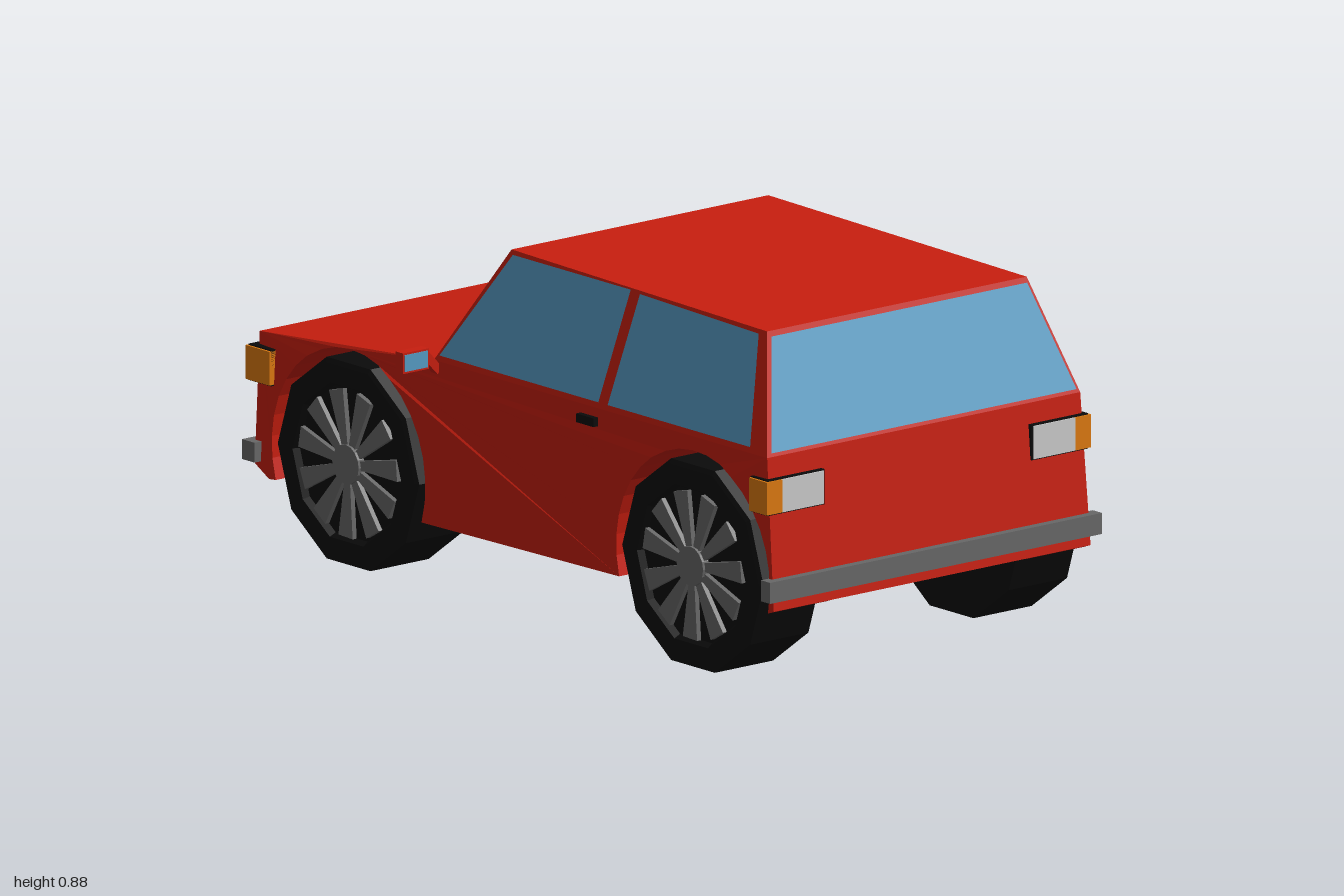
import * as THREE from 'three';

const mat = (color, side = THREE.FrontSide) => new THREE.MeshStandardMaterial({ color, side, flatShading: true });
const RED = mat(0xc81e0f), BLACK = mat(0x0b0b0b), GREY = mat(0x686868), LAMP = mat(0xc4c4c4);
const ORANGE = mat(0xdd7a10), GLASS = mat(0x569cc4, THREE.DoubleSide);

const AXLES = [-0.62, 0.68];
const WHEEL_Y = 0.267;
// half-width of the cabin at a given height
const sideX = (y) => 0.5 - (y - 0.59) * 0.3;

function add(parent, name, geometry, material) {
  const m = new THREE.Mesh(geometry, material);
  m.name = name;
  parent.add(m);
  return m;
}

// box given by its minimum and maximum corners
function block(parent, name, material, [x0, y0, z0], [x1, y1, z1]) {
  const g = new THREE.BoxGeometry(Math.abs(x1 - x0), y1 - y0, z1 - z0);
  g.translate((x0 + x1) / 2, (y0 + y1) / 2, (z0 + z1) / 2);
  return add(parent, name, g, material);
}

// flat convex pane through the given corners
function pane(parent, name, corners) {
  const g = new THREE.BufferGeometry().setFromPoints(corners.map((c) => new THREE.Vector3(...c)));
  const index = [];
  for (let i = 1; i < corners.length - 1; i++) index.push(0, i, i + 1);
  g.setIndex(index);
  g.computeVertexNormals();
  return add(parent, name, g, GLASS);
}

// side outline of the lower body (z, y), with or without wheel arches
function bodyShape(arches) {
  const s = new THREE.Shape();
  s.moveTo(-0.974, 0.53);
  s.lineTo(-0.974, 0.2);
  s.lineTo(-0.92, 0.17);
  if (arches) {
    s.absarc(AXLES[0], 0.265, 0.29, Math.PI + 0.325, -0.32, true);
    s.absarc(AXLES[1], 0.265, 0.29, Math.PI + 0.28, -0.22, true);
  }
  s.lineTo(0.985, 0.21);
  s.lineTo(0.953, 0.59);
  s.lineTo(-0.305, 0.59);
  s.closePath();
  return s;
}

function bodySlab(x0, x1, arches) {
  const g = new THREE.ExtrudeGeometry(bodyShape(arches), {
    depth: x1 - x0, steps: arches ? 1 : 2, bevelEnabled: false, curveSegments: 10,
  });
  g.rotateY(-Math.PI / 2);
  g.translate(x1, 0, 0);
  const p = g.attributes.position;
  for (let i = 0; i < p.count; i++) {
    const x = p.getX(i), y = p.getY(i), z = p.getZ(i);
    // shallow ridge along the floor, and slightly narrower upper edges
    if (Math.abs(x) < 0.01 && y < 0.2) p.setY(i, 0.2);
    if (y > 0.52 && Math.abs(x) > 0.4) p.setX(i, Math.sign(x) * (z < -0.9 ? 0.49 : 0.5));
  }
  g.computeVertexNormals();
  return g;
}

function cabinGeometry() {
  const g = new THREE.BoxGeometry(1, 1, 1);
  const p = g.attributes.position;
  for (let i = 0; i < p.count; i++) {
    const top = p.getY(i) > 0, rear = p.getZ(i) > 0;
    const y = top ? (rear ? 0.875 : 0.89) : 0.59;
    const z = top ? (rear ? 0.852 : -0.118) : (rear ? 0.953 : -0.305);
    p.setXYZ(i, Math.sign(p.getX(i)) * sideX(y), y, z);
  }
  g.computeVertexNormals();
  return g;
}

// wheel built around the y axis, outer face up, then laid over toward +x
function makeWheel() {
  const wheel = new THREE.Group();
  wheel.name = 'wheel';
  const profile = [[0, -0.096], [0.267, -0.096], [0.267, 0.09], [0.255, 0.096], [0.205, 0.096], [0.195, 0.08], [0, 0.08]];
  add(wheel, 'tyre', new THREE.LatheGeometry(profile.map((p) => new THREE.Vector2(...p)), 10), BLACK);
  const spoke = new THREE.Shape([[-0.011, 0.045], [0.011, 0.045], [0.027, 0.185], [-0.027, 0.185]].map((p) => new THREE.Vector2(...p)));
  for (let i = 0; i < 11; i++) {
    const g = new THREE.ExtrudeGeometry(spoke, { depth: 0.014, bevelEnabled: false });
    g.rotateX(-Math.PI / 2);
    g.rotateY((i / 11) * Math.PI * 2 + 0.1);
    g.translate(0, 0.079, 0);
    add(wheel, 'spoke', g, GREY);
  }
  const hub = new THREE.CylinderGeometry(0.05, 0.05, 0.03, 16);
  hub.translate(0, 0.085, 0);
  add(wheel, 'hub', hub, GREY);
  wheel.rotation.z = -Math.PI / 2;
  return wheel;
}

// lamp cluster at one corner; dir is the z direction it faces
function lampCluster(parent, s, dir, y0, y1, zIn, zOut, xIn) {
  const lamp = new THREE.Group();
  lamp.name = dir > 0 ? 'rearLamp' : 'frontLamp';
  parent.add(lamp);
  const part = (name, m, xa, xb, ya, yb, za, zb) =>
    block(lamp, name, m, [s * xa, ya, Math.min(za, zb)], [s * xb, yb, Math.max(za, zb)]);
  part('housing', BLACK, xIn, 0.512, y0, y1, zIn, zOut - dir * 0.004);
  part('lens', LAMP, xIn + 0.004, 0.468, y0 + 0.003, y1 - 0.003, zOut - dir * 0.01, zOut);
  part('indicator', ORANGE, 0.468, 0.518, y0 + 0.003, y1 - 0.003, zIn, zOut);
}

export function createModel() {
  const car = new THREE.Group();
  car.name = 'car';

  // body shell
  add(car, 'bodyCentre', bodySlab(-0.32, 0.32, false), RED);
  add(car, 'bodyLeft', bodySlab(0.32, 0.506, true), RED);
  add(car, 'bodyRight', bodySlab(-0.506, -0.32, true), RED);
  add(car, 'cabin', cabinGeometry(), RED);

  // windscreen and rear window, lying just off the cabin slopes
  const windZ = (y) => -0.305 + (y - 0.59) * 0.623 - 0.005;
  const rearZ = (y) => 0.953 - (y - 0.59) * 0.354 + 0.005;
  const screen = (name, zAt, y0, y1) => {
    const a = sideX(y0) - 0.01, b = sideX(y1) - 0.01;
    pane(car, name, [[-a, y0, zAt(y0)], [a, y0, zAt(y0)], [b, y1, zAt(y1)], [-b, y1, zAt(y1)]]);
  };
  screen('windscreen', windZ, 0.6, 0.877);
  screen('rearWindow', rearZ, 0.6, 0.863);

  // bumpers
  block(car, 'rearBumper', GREY, [-0.53, 0.237, 0.965], [0.53, 0.29, 1]);
  block(car, 'frontBumper', GREY, [-0.525, 0.208, -1], [0.525, 0.258, -0.952]);

  for (const s of [1, -1]) {
    // side windows
    const sidePane = (name, pts) => pane(car, name, pts.map(([z, y]) => [s * (sideX(y) + 0.004), y, z]));
    sidePane('frontSideWindow', [[0.315, 0.605], [0.34, 0.88], [-0.105, 0.88], [-0.285, 0.605]]);
    sidePane('rearSideWindow', [[0.888, 0.605], [0.828, 0.866], [0.376, 0.876], [0.35, 0.605]]);

    // door handle
    block(car, 'doorHandle', BLACK, [s * 0.495, 0.545, 0.25], [s * 0.515, 0.567, 0.315]);

    // door mirror
    block(car, 'mirrorHousing', RED, [s * 0.535, 0.578, -0.31], [s * 0.618, 0.63, -0.282]);
    block(car, 'mirrorGlass', LAMP, [s * 0.54, 0.583, -0.285], [s * 0.613, 0.625, -0.28]).material = GLASS;
    const arm = new THREE.BoxGeometry(0.06, 0.022, 0.022);
    arm.rotateZ(s * 0.8);
    arm.translate(s * 0.518, 0.588, -0.296);
    add(car, 'mirrorArm', arm, RED);

    // lamps
    lampCluster(car, s, 1, 0.449, 0.538, 0.905, 0.973, 0.331);
    lampCluster(car, s, -1, 0.407, 0.498, -0.905, -0.995, 0.31);

    // wheels
    for (const z of AXLES) {
      const holder = new THREE.Group();
      holder.name = z < 0 ? 'frontWheel' : 'rearWheel';
      holder.position.set(s * 0.416, WHEEL_Y, z);
      if (s < 0) holder.rotation.y = Math.PI;
      holder.add(makeWheel());
      car.add(holder);
    }
  }
  return car;
}
